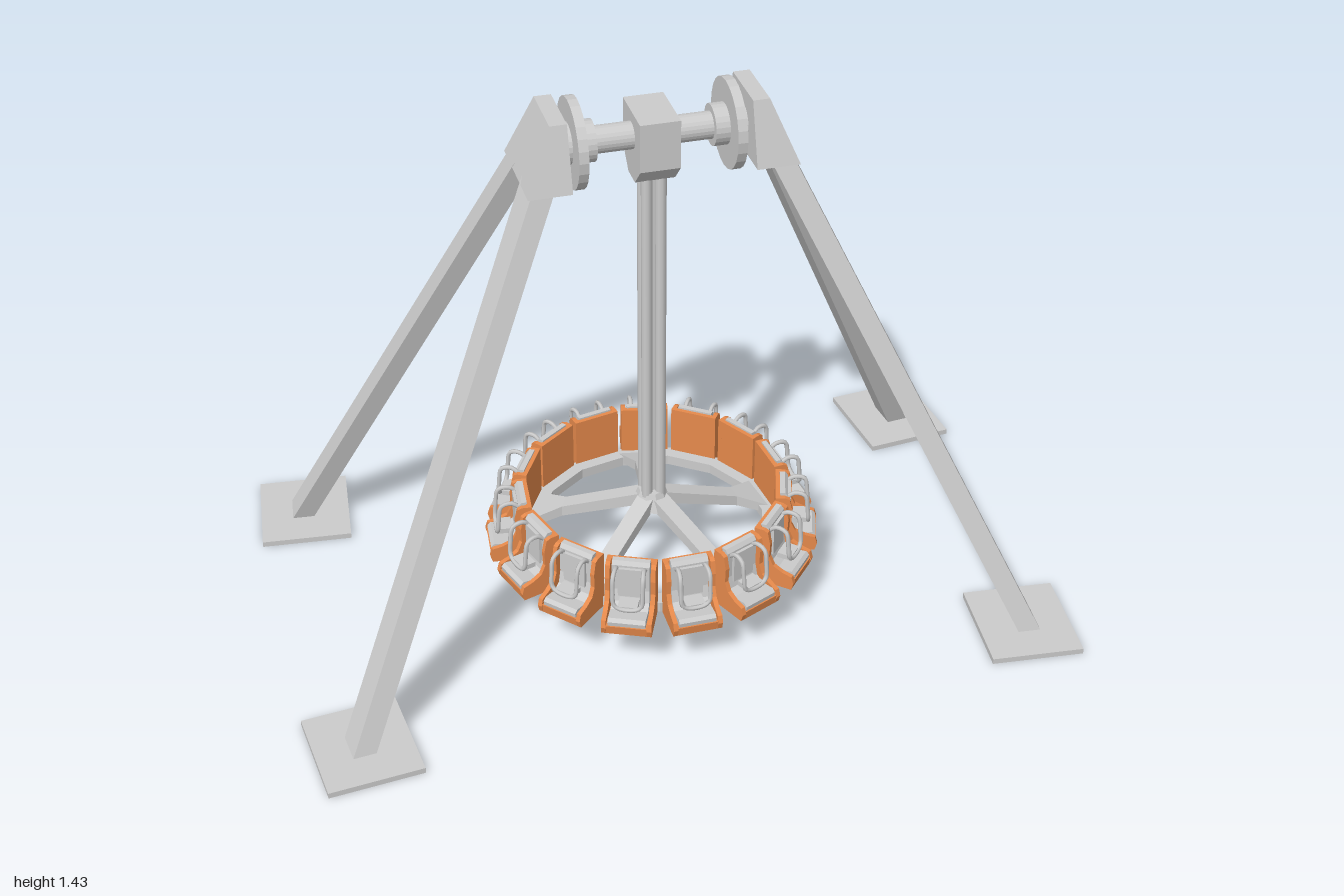
import * as THREE from 'three';
import { ConvexGeometry } from 'three/addons/geometries/ConvexGeometry.js';

const grey = new THREE.MeshStandardMaterial({ color: 0xcccccc });
const flatGrey = new THREE.MeshStandardMaterial({ color: 0xcccccc, flatShading: true });
const orange = new THREE.MeshStandardMaterial({ color: 0xe68a4c });

function add(parent, name, geometry, material = grey) {
  const mesh = new THREE.Mesh(geometry, material);
  mesh.name = name;
  parent.add(mesh);
  return mesh;
}

// Four corners of a rectangle at height y, turned about its centre
function rect(cx, y, cz, w, d, turn = 0) {
  return [[-1, -1], [1, -1], [1, 1], [-1, 1]].map(([sx, sz]) =>
    new THREE.Vector3(sx * w / 2, 0, sz * d / 2)
      .applyAxisAngle(new THREE.Vector3(0, 1, 0), turn)
      .add(new THREE.Vector3(cx, y, cz)));
}

// Cross-section in the y-z plane at a distance z
function section(z, y, w, h) {
  return [[-1, -1], [1, -1], [1, 1], [-1, 1]].map(([sx, sy]) =>
    new THREE.Vector3(sx * w / 2, y + sy * h / 2, z));
}

const hull = (...loops) => new ConvexGeometry(loops.flat());

// Extrude a (z, y) profile across x, centred on x
function profile(points, width, x = 0) {
  const shape = new THREE.Shape(points.map(([z, y]) => new THREE.Vector2(z, y)));
  return new THREE.ExtrudeGeometry(shape, { depth: width, bevelEnabled: false })
    .translate(0, 0, -width / 2).rotateY(-Math.PI / 2).translate(x, 0, 0);
}

function xCylinder(radius, length, x, y, sides = 24) {
  return new THREE.CylinderGeometry(radius, radius, length, sides)
    .rotateZ(Math.PI / 2).translate(x, y, 0);
}

function box(w, h, d, x, y, z) {
  return new THREE.BoxGeometry(w, h, d).translate(x, y, z);
}

// One outward-facing seat, laid out along +z
function createSeat() {
  const seat = new THREE.Group();
  seat.name = 'seat';
  const wing = [[0.325, 0.125], [0.432, 0.125], [0.438, 0.145], [0.432, 0.165], [0.405, 0.172],
    [0.38, 0.185], [0.368, 0.21], [0.37, 0.25], [0.362, 0.285], [0.35, 0.29], [0.325, 0.29]];
  for (const s of [-1, 1]) add(seat, 'seatWing', profile(wing, 0.012, s * 0.058), orange);
  add(seat, 'seatShell', profile([[0.325, 0.125], [0.432, 0.125], [0.436, 0.15],
    [0.345, 0.15], [0.338, 0.29], [0.325, 0.29]], 0.106), orange);
  add(seat, 'cushion', profile([[0.34, 0.148], [0.432, 0.148], [0.434, 0.162], [0.425, 0.17],
    [0.385, 0.165], [0.366, 0.178], [0.358, 0.21], [0.358, 0.285], [0.35, 0.295], [0.336, 0.295]], 0.096));
  add(seat, 'backPad', box(0.064, 0.085, 0.012, 0, 0.237, 0.36));

  // Over-the-shoulder restraint loop
  const half = [[0.036, 0.27, 0.35], [0.036, 0.288, 0.375], [0.038, 0.282, 0.402],
    [0.038, 0.24, 0.41], [0.035, 0.203, 0.413], [0.02, 0.192, 0.414]];
  const path = [...half, ...half.slice().reverse().map(([x, y, z]) => [-x, y, z])]
    .map(p => new THREE.Vector3(...p));
  add(seat, 'restraint', new THREE.TubeGeometry(new THREE.CatmullRomCurve3(path), 36, 0.006, 6));
  add(seat, 'lapBar', box(0.05, 0.014, 0.04, 0, 0.192, 0.394));
  return seat;
}

export function createModel() {
  const model = new THREE.Group();
  model.name = 'pendulumRide';

  // Support frame
  for (const sx of [-1, 1]) {
    for (const sz of [-1, 1]) {
      const turn = -0.1 * sx * sz;
      const foot = add(model, 'footPlate', new THREE.BoxGeometry(0.24, 0.015, 0.27));
      foot.position.set(sx * 0.866, 0.0075, sz * 0.49);
      foot.rotation.y = turn;
      add(model, 'leg', hull(
        rect(sx * 0.873, 0.01, sz * 0.494, 0.058, 0.082, turn),
        rect(sx * 0.278, 1.3, sz * 0.062, 0.058, 0.082, turn)));
    }
    add(model, 'legCap', hull(
      rect(sx * 0.279, 1.25, 0, 0.108, 0.256),
      rect(sx * 0.246, 1.41, 0, 0.042, 0.16)));
    add(model, 'bearingDisc', xCylinder(0.113, 0.024, sx * 0.193, 1.318), flatGrey);
    add(model, 'bearingHub', xCylinder(0.052, 0.085, sx * 0.188, 1.318), flatGrey);
  }
  add(model, 'axle', xCylinder(0.034, 0.5, 0, 1.318), flatGrey);

  // Swing block and arm
  add(model, 'swingBlock', profile([[-0.03, 1.205], [0.03, 1.205], [0.078, 1.255],
    [0.078, 1.38], [-0.078, 1.38], [-0.078, 1.255]], 0.1));
  for (const sx of [-1, 1]) for (const sz of [-1, 1]) {
    add(model, 'armTube', new THREE.CylinderGeometry(0.014, 0.014, 0.98, 10)
      .translate(sx * 0.018, 0.72, sz * 0.018));
  }
  add(model, 'armCore', box(0.03, 0.98, 0.03, 0, 0.72, 0));

  // Gondola: hub, ring, flared spokes and seats
  const gondola = new THREE.Group();
  gondola.name = 'gondola';
  model.add(gondola);
  add(gondola, 'hub', new THREE.CylinderGeometry(0.036, 0.055, 0.05, 10).translate(0, 0.245, 0), flatGrey);
  const ringProfile = [[0.3, 0.127], [0.34, 0.127], [0.34, 0.155], [0.3, 0.155], [0.3, 0.127]]
    .map(([r, y]) => new THREE.Vector2(r, y));
  add(gondola, 'ring', new THREE.LatheGeometry(ringProfile, 15, Math.PI / 15), flatGrey);

  for (let i = 0; i < 5; i++) {
    const spoke = new THREE.Group();
    spoke.name = 'spoke';
    spoke.rotation.y = THREE.MathUtils.degToRad(98 + 72 * i);
    add(spoke, 'spokeBeam', hull(section(0, 0.25, 0.045, 0.036), section(0.24, 0.166, 0.045, 0.03)));
    add(spoke, 'spokeFlare', hull(section(0.24, 0.166, 0.045, 0.03), section(0.315, 0.142, 0.12, 0.026)));
    gondola.add(spoke);
  }
  for (let i = 0; i < 15; i++) {
    const seat = createSeat();
    seat.rotation.y = i * Math.PI * 2 / 15;
    gondola.add(seat);
  }
  return model;
}
